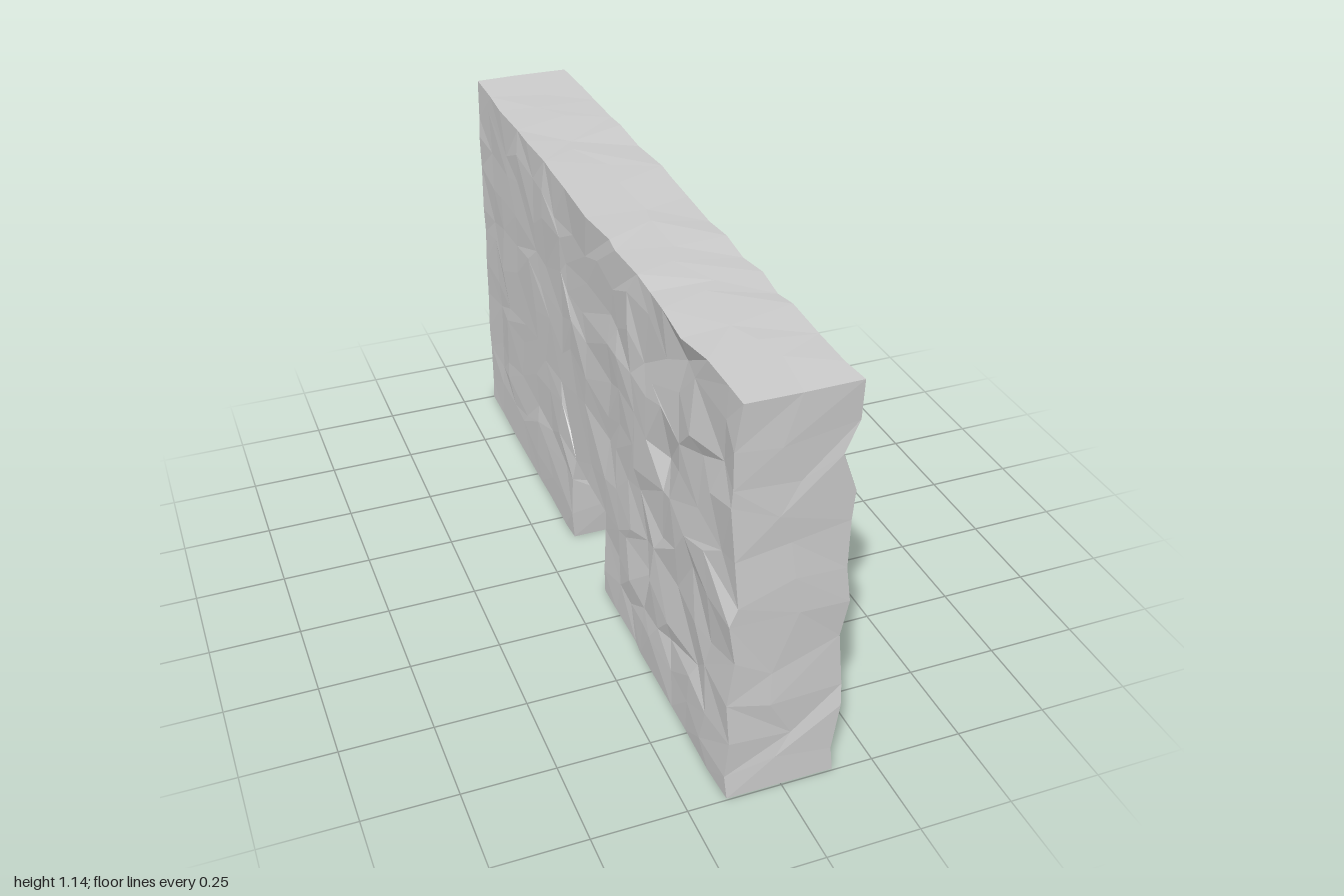
import * as THREE from 'three';

// Grid lines of the slab; the doorway uses the lines at z = -0.13, 0.14 and y = 0.29
const X = [-0.145, -0.01, 0.14];
const Y = [0, 0.1, 0.19, 0.29, 0.4, 0.51, 0.62, 0.73, 0.84, 0.94, 1.04, 1.135];
const Z = [-1, -0.87, -0.74, -0.6, -0.47, -0.36, -0.24, -0.13, 0, 0.14, 0.24, 0.34, 0.43, 0.53, 0.65, 0.76, 0.88, 0.995];
const NX = X.length - 1, NY = Y.length - 1, NZ = Z.length - 1;
const DOOR = { z0: 7, z1: 9, top: 3 };

// Chipped spots: side, y, z, depth
const CHIPS = [
  [1, 0.29, 0.65, 0.03], [1, 1.04, 0.43, 0.025], [1, 0.62, 0.65, 0.022], [1, 0.94, 0.995, 0.035],
  [1, 0.73, 0.24, 0.02], [1, 0.1, -0.13, 0.02],
  [-1, 0.84, 0.76, 0.022], [-1, 0.73, 0.53, 0.018], [-1, 0.62, 0.995, 0.018], [-1, 1.04, 0.65, 0.012],
];

// Seeded value in -1..1 for a grid point
function noise(i, j, k, seed) {
  const s = Math.sin(i * 127.1 + j * 311.7 + k * 74.7 + seed * 53.3) * 43758.5453;
  return 2 * (s - Math.floor(s)) - 1;
}

const solid = (i, j, k) =>
  i >= 0 && j >= 0 && k >= 0 && i < NX && j < NY && k < NZ &&
  !(j < DOOR.top && k >= DOOR.z0 && k < DOOR.z1);

// Weathered position of a grid point: rougher to the front, calm at the back
function point(i, j, k) {
  let x = X[i], y = Y[j], z = Z[k];
  const rough = THREE.MathUtils.lerp(0.004, 0.011, THREE.MathUtils.smoothstep(z, -0.7, 0.6));
  const side = i === 0 ? -1 : i === NX ? 1 : 0;
  const onDoorSide = j <= DOOR.top && (k === DOOR.z0 || k === DOOR.z1);
  const onDoorTop = j === DOOR.top && k >= DOOR.z0 && k <= DOOR.z1;
  const endK = k === 0 || k === NZ;

  if (side) {
    x += rough * noise(i, j, k, 1) * (j === 0 ? 0.3 : 1);
    if (k > 1) x += side * 0.003;
    for (const [s, cy, cz, depth] of CHIPS)
      if (s === side && Math.abs(cy - y) < 0.01 && Math.abs(cz - z) < 0.01) x -= s * depth;
  } else x += 0.035 * noise(i, j, k, 2);

  if (j > 0 && j < NY && !onDoorTop) y += 0.036 * noise(i, j, k, 3);
  if (j === NY) y += 0.004 * noise(i, j, k, 4);
  if (!endK && !onDoorSide) z += 0.045 * noise(i, j, k, 5);
  if (endK && j > 0 && j < NY) z += Math.sign(z) * (0.006 * noise(i, j, k, 6) - 0.003);
  // Doorway jambs lean slightly and bulge
  if (onDoorSide) {
    const t = j / DOOR.top;
    z = k === DOOR.z1 ? 0.13 + 0.02 * t : -0.145 + 0.025 * t;
    if (j > 0 && j < DOOR.top) z += 0.01 * noise(i, j, k, 7);
  }
  return [x, y, z];
}

function wallGeometry() {
  const pos = [];
  // Corners run anticlockwise as seen from outside
  const quad = (a, b, c, d, flip) => {
    const p = [a, b, c, d].map((q) => point(...q));
    const order = flip ? [0, 1, 2, 0, 2, 3] : [0, 1, 3, 1, 2, 3];
    for (const n of order) pos.push(...p[n]);
  };
  for (let i = 0; i < NX; i++)
    for (let j = 0; j < NY; j++)
      for (let k = 0; k < NZ; k++) {
        if (!solid(i, j, k)) continue;
        const I = i + 1, J = j + 1, K = k + 1;
        const flip = noise(i, j, k, 8) > 0;
        if (!solid(I, j, k)) quad([I, j, K], [I, j, k], [I, J, k], [I, J, K], flip);
        if (!solid(i - 1, j, k)) quad([i, j, k], [i, j, K], [i, J, K], [i, J, k], flip);
        if (!solid(i, J, k)) quad([i, J, K], [I, J, K], [I, J, k], [i, J, k], flip);
        if (!solid(i, j - 1, k)) quad([i, j, k], [I, j, k], [I, j, K], [i, j, K], flip);
        if (!solid(i, j, K)) quad([i, j, K], [I, j, K], [I, J, K], [i, J, K], flip);
        if (!solid(i, j, k - 1)) quad([I, j, k], [i, j, k], [i, J, k], [I, J, k], flip);
      }
  const geometry = new THREE.BufferGeometry();
  geometry.setAttribute('position', new THREE.Float32BufferAttribute(pos, 3));
  geometry.computeVertexNormals();
  return geometry;
}

export function createModel() {
  const group = new THREE.Group();
  group.name = 'stoneWall';
  const material = new THREE.MeshStandardMaterial({ color: 0xcccccc, flatShading: true });
  const wall = new THREE.Mesh(wallGeometry(), material);
  wall.name = 'wallWithDoorway';
  group.add(wall);
  return group;
}
